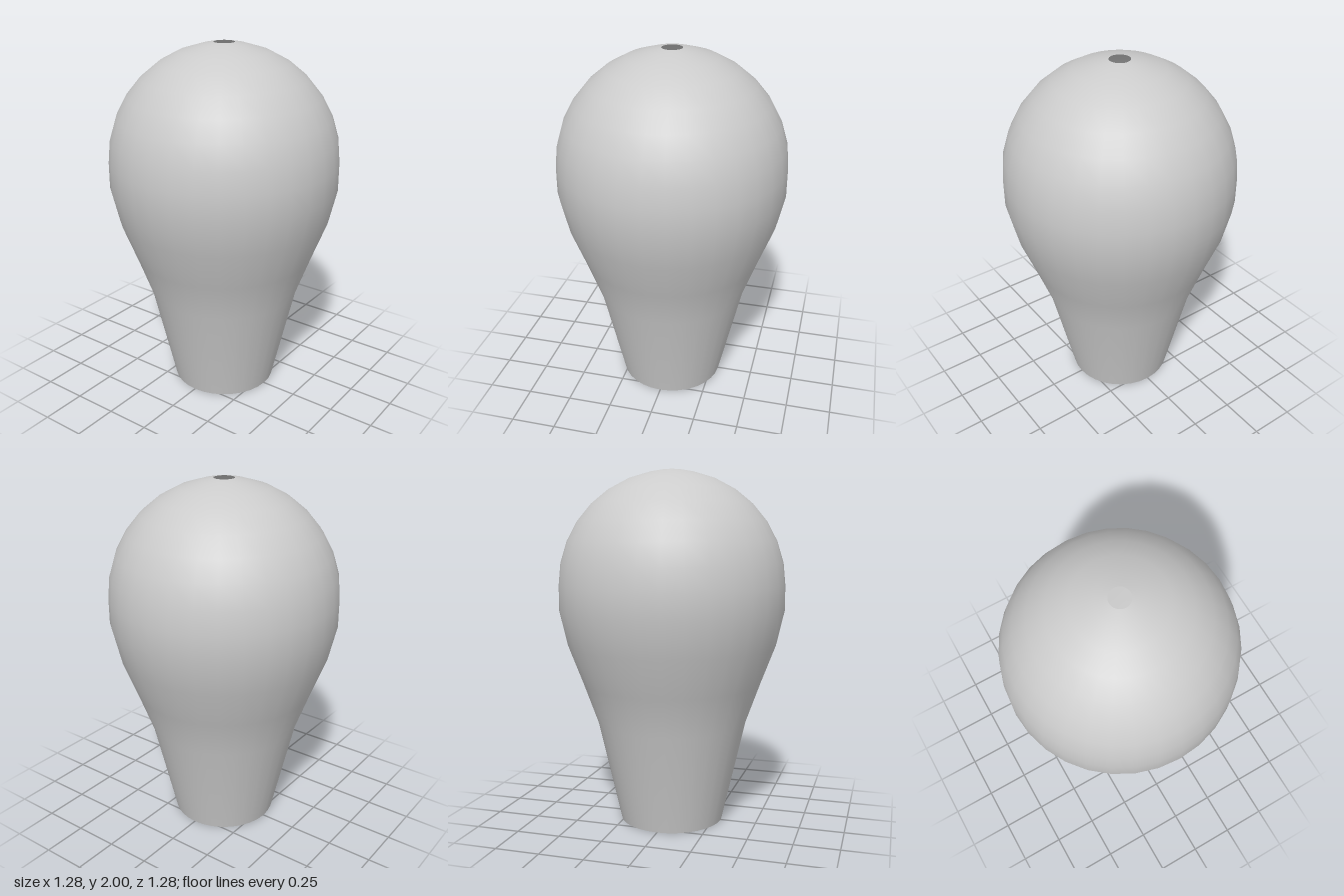
import * as THREE from 'three';

export function createModel() {
  const group = new THREE.Group();
  const material = new THREE.MeshStandardMaterial({ color: 0xcccccc, side: THREE.DoubleSide });

  const segments = 32;
  const radius = 0.638;
  const centreY = 1.362;

  // Tapered neck, open at the bottom, flaring into the bulb
  const profile = [
    [0.295, 0], [0.425, 0.57], [0.508, 0.8], [0.592, 1.02], [radius, 1.22],
  ].map(([r, y]) => new THREE.Vector2(r, y));

  // Round dome
  for (let i = 0; i < 8; i++) {
    const a = (i * Math.PI * 2) / segments;
    profile.push(new THREE.Vector2(radius * Math.cos(a), centreY + radius * Math.sin(a)));
  }

  // Rim of the small hole at the top
  profile.push(new THREE.Vector2(0.057, 2));

  const shell = new THREE.Mesh(new THREE.LatheGeometry(profile, segments), material);
  shell.name = 'bulbShell';
  group.add(shell);
  return group;
}
